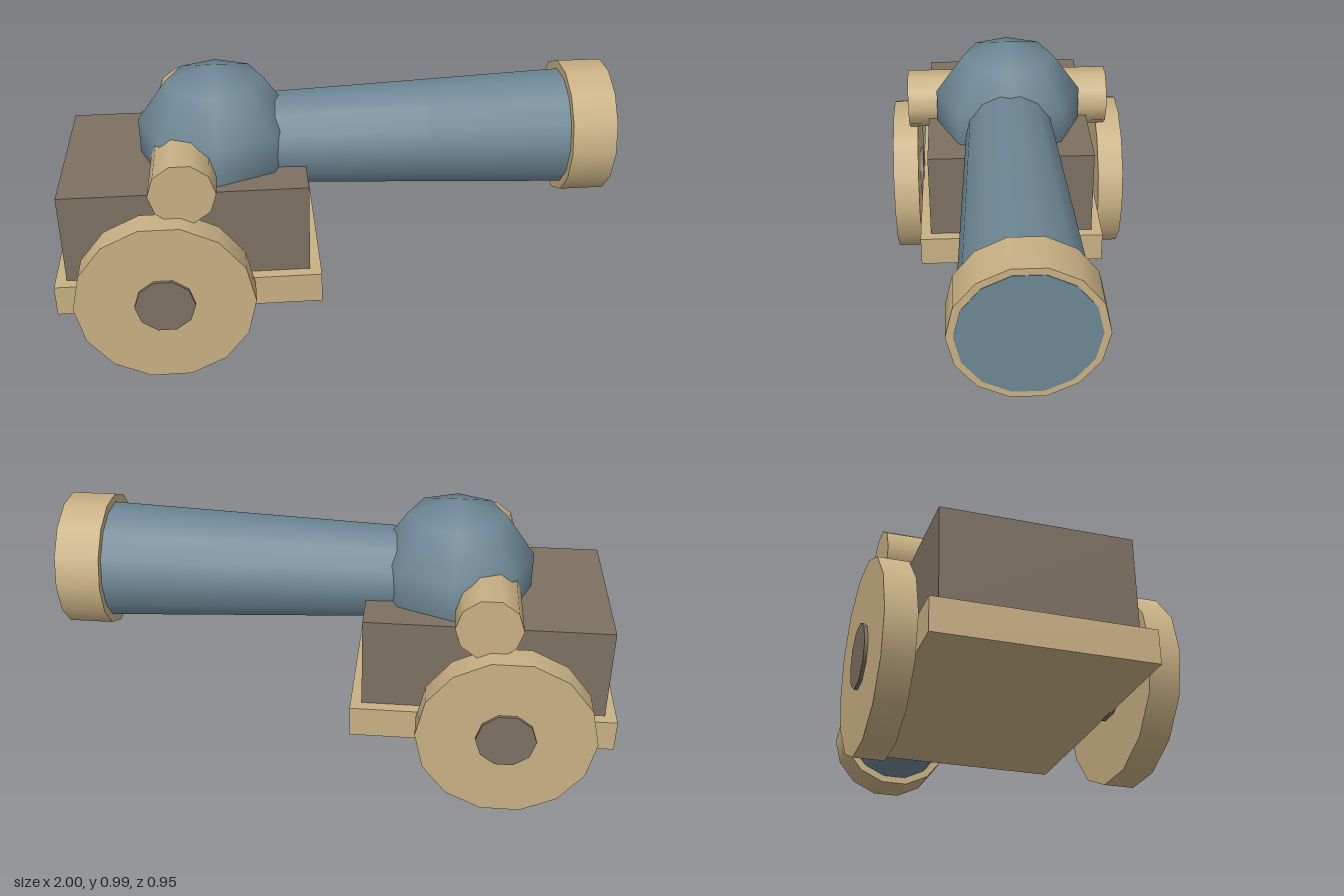
import * as THREE from 'three';

const mat = (color) => new THREE.MeshStandardMaterial({ color });

export function createModel() {
  const model = new THREE.Group();
  model.name = 'cannon';
  const iron = mat(0x6d8794), tan = mat(0xc8b084), brown = mat(0x7d7062);

  const add = (name, geometry, material, x, y, z) => {
    const mesh = new THREE.Mesh(geometry, material);
    mesh.name = name;
    mesh.position.set(x, y, z);
    model.add(mesh);
    return mesh;
  };

  // Cylinder lying along x; r0 at the -x end, r1 at the +x end
  const alongX = (name, r0, r1, x0, x1, y, sides, material) =>
    add(name, new THREE.CylinderGeometry(r1, r0, x1 - x0, sides, 2).rotateZ(-Math.PI / 2),
      material, (x0 + x1) / 2, y, 0);

  // Cylinder lying along z, with a flat side on top
  const alongZ = (name, r, length, x, y, z, sides, material) =>
    add(name, new THREE.CylinderGeometry(r, r, length, sides).rotateY(Math.PI / 2).rotateX(Math.PI / 2),
      material, x, y, z);

  // Carriage
  add('carriageBase', new THREE.BoxGeometry(0.94, 0.115, 0.71), tan, -0.53, 0.268, 0);
  add('carriageBody', new THREE.BoxGeometry(0.86, 0.335, 0.63), brown, -0.53, 0.493, 0);

  // Barrel with rounded breech, muzzle band and trunnion
  add('breech', new THREE.SphereGeometry(0.294, 8, 5), iron, -0.41, 0.7, 0);
  alongX('barrel', 0.163, 0.219, -0.33, 1, 0.7, 14, iron);
  alongX('muzzleBand', 0.242, 0.242, 0.84, 0.998, 0.7, 14, tan);
  alongZ('trunnion', 0.115, 0.79, -0.53, 0.7, 0, 10, tan);

  // Wheels and hubs on both sides
  for (const side of [1, -1]) {
    const label = side > 0 ? 'front' : 'back';
    alongZ(label + 'Wheel', 0.314, 0.1, -0.61, 0.306, side * 0.414, 14, tan);
    alongZ(label + 'Hub', 0.105, 0.124, -0.61, 0.308, side * 0.413, 10, brown);
  }
  return model;
}
